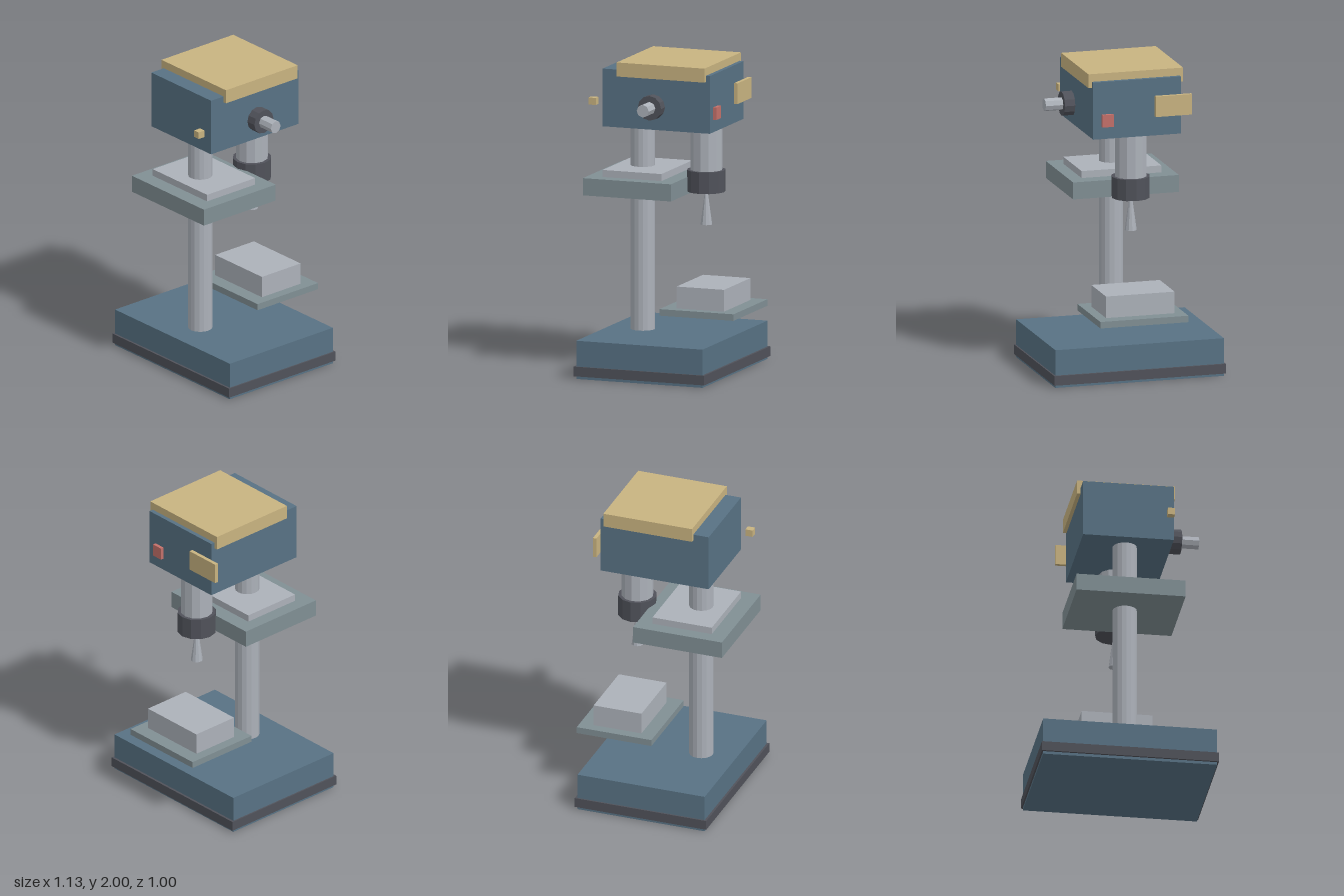
import * as THREE from 'three';

const paint = (name, color) => {
  const m = new THREE.MeshStandardMaterial({ color });
  m.name = name;
  return m;
};

export function createModel() {
  const model = new THREE.Group();
  model.name = 'drillPress';

  const blue = paint('bluePaint', 0x587284);
  const dark = paint('darkRubber', 0x50525a);
  const castIron = paint('castIron', 0x808f94);
  const steel = paint('lightSteel', 0xacb1b9);
  const tan = paint('tanPaint', 0xc8b380);
  const red = paint('redSwitch', 0xc4706a);
  // faceted round parts
  for (const m of [dark, steel]) m.flatShading = true;

  const add = (name, geometry, material) => {
    const mesh = new THREE.Mesh(geometry, material);
    mesh.name = name;
    model.add(mesh);
    return mesh;
  };
  // box from its limits on each axis
  const box = (name, material, [x0, x1], [y0, y1], [z0, z1]) =>
    add(name, new THREE.BoxGeometry(x1 - x0, y1 - y0, z1 - z0), material)
      .position.set((x0 + x1) / 2, (y0 + y1) / 2, (z0 + z1) / 2);
  // upright round part on the centre line
  const post = (name, material, rTop, rBottom, y0, y1, z, sides) =>
    add(name, new THREE.CylinderGeometry(rTop, rBottom, y1 - y0, sides), material)
      .position.set(0, (y0 + y1) / 2, z);
  // round part lying along x
  const axle = (name, material, r, x0, x1, sides) => {
    const mesh = add(name, new THREE.CylinderGeometry(r, r, x1 - x0, sides), material);
    mesh.rotation.z = -Math.PI / 2;
    mesh.position.set((x0 + x1) / 2, 1.735, 0.033);
  };

  // base with its rubber band
  box('base', blue, [-0.555, 0.555], [0, 0.245], [-0.395, 0.462]);
  box('baseBand', dark, [-0.565, 0.565], [0.018, 0.08], [-0.41, 0.476]);

  // column and the table it carries
  post('column', steel, 0.077, 0.077, 0.24, 1.6, 0.231, 16);
  box('table', castIron, [-0.348, 0.348], [1.14, 1.25], [-0.098, 0.5]);
  box('tablePlate', steel, [-0.263, 0.263], [1.25, 1.295], [0, 0.4]);

  // work holder below the drill
  box('workPlate', castIron, [-0.29, 0.29], [0.392, 0.434], [-0.5, 0.003]);
  box('workBlock', steel, [-0.226, 0.226], [0.434, 0.574], [-0.41, -0.088]);

  // head, cover and small fittings
  box('head', blue, [-0.289, 0.289], [1.58, 1.95], [-0.339, 0.389]);
  box('headCover', tan, [-0.312, 0.312], [1.91, 2], [-0.312, 0.285]);
  box('backPlate', tan, [-0.355, -0.115], [1.705, 1.838], [-0.367, -0.343]);
  box('switch', red, [0.158, 0.233], [1.66, 1.74], [-0.361, -0.338]);
  box('frontTab', tan, [0.238, 0.283], [1.712, 1.757], [0.438, 0.487]);

  // quill, chuck and bit
  post('quill', steel, 0.102, 0.102, 1.28, 1.6, -0.2, 12);
  post('chuck', dark, 0.123, 0.123, 1.157, 1.295, -0.2, 12);
  post('bit', steel, 0.01, 0.038, 0.943, 1.15, -0.2, 10);

  // side feed knob
  axle('feedKnob', dark, 0.079, 0.318, 0.386, 12);
  axle('feedHandle', steel, 0.041, 0.37, 0.5, 8);

  return model;
}
